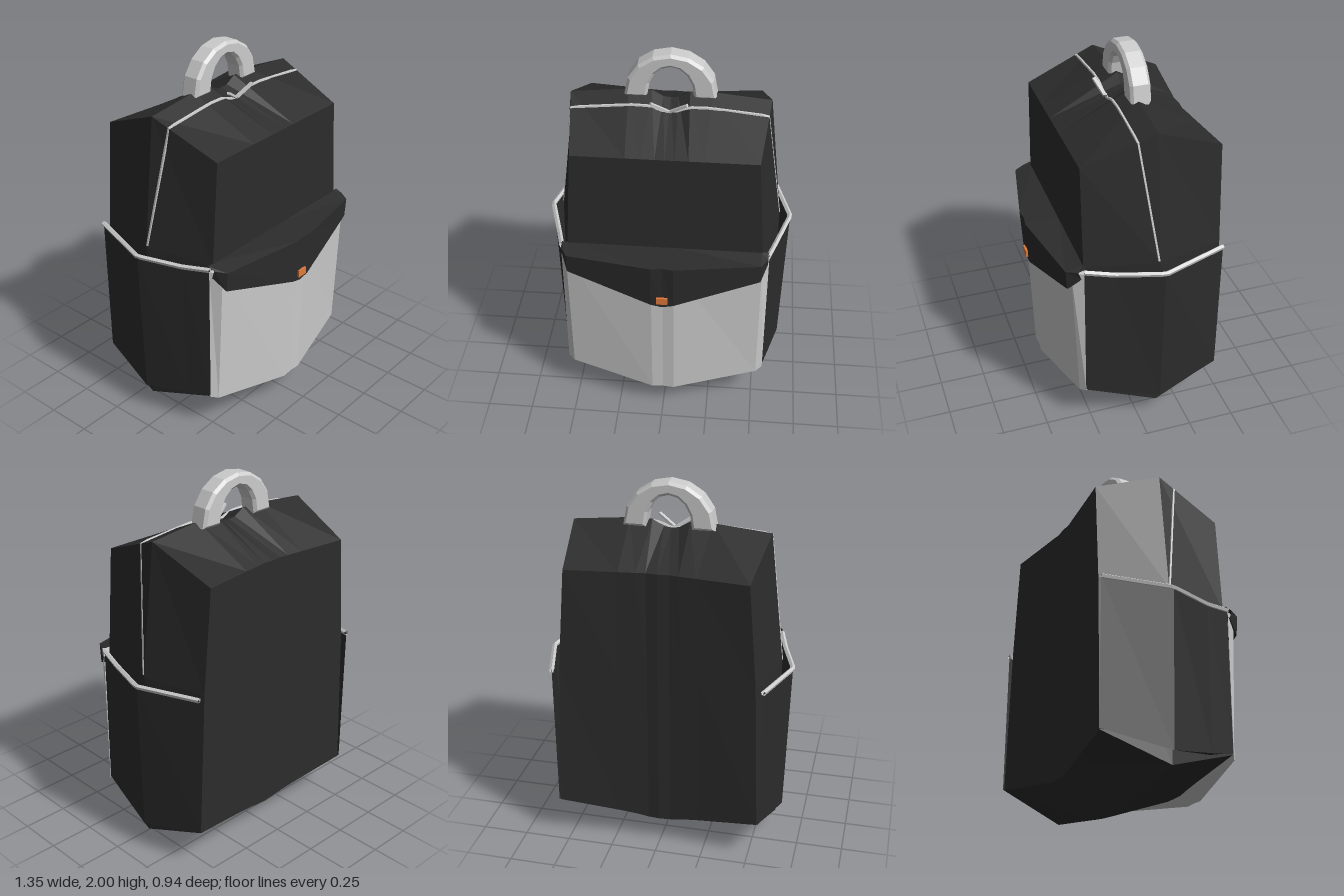
import * as THREE from 'three';

const material = (color) => new THREE.MeshStandardMaterial({ color, flatShading: true, side: THREE.DoubleSide });
const black = material(0x2c2c2c);
const grey = material(0xcccccc);
const orange = material(0xe07a3a);

const flip = ([x, y, z]) => [-x, y, z];

// Skin over columns of points (columns left to right, points top to bottom)
function skin(...patches) {
  const pos = [];
  for (const cols of patches) {
    for (let i = 0; i < cols.length - 1; i++) {
      for (let j = 0; j < cols[i].length - 1; j++) {
        const a = cols[i][j], b = cols[i][j + 1], c = cols[i + 1][j + 1], d = cols[i + 1][j];
        pos.push(...a, ...b, ...c, ...a, ...c, ...d);
      }
    }
  }
  const g = new THREE.BufferGeometry();
  g.setAttribute('position', new THREE.Float32BufferAttribute(pos, 3));
  g.computeVertexNormals();
  return g;
}

const mirrorCols = (cols) => cols.map((c) => c.map(flip)).reverse();
// Columns given from the centre outwards become the full width
const fullWidth = (half) => [...mirrorCols(half), ...half];

function tube(points, radius, sides = 5) {
  const curve = new THREE.CatmullRomCurve3(points.map((p) => new THREE.Vector3(...p)), false, 'catmullrom', 0);
  return new THREE.TubeGeometry(curve, points.length * 6, radius, sides, false);
}

export function createModel() {
  const model = new THREE.Group();
  const add = (name, geometry, mat) => {
    const mesh = new THREE.Mesh(geometry, mat);
    mesh.name = name;
    model.add(mesh);
    return mesh;
  };

  // Main body: profiles around the bag (over the front, under, up the back)
  const profile = (ridge, frontX, midX, low, lowY, ridgeLow, back, backZ) => [
    [ridge[0], ridge[1], -0.1],
    [frontX, 1.6, 0.285],
    [midX, 1.04, 0.285],
    [low, lowY, 0.285],
    [ridgeLow[0], ridgeLow[1], -0.1],
    [low, lowY, backZ + (lowY < 0.2 ? 0.01 : 0)],
    [midX, 1.04, backZ],
    [back, 1.6, backZ],
    [ridge[0], ridge[1], -0.1],
  ];
  const stations = [
    profile([0, 1.74], 0, 0, 0, 0.15, [0, 0], 0, -0.415),
    profile([0.04, 1.745], 0.05, 0.06, 0.06, 0.15, [0.05, 0.005], 0.06, -0.41),
    profile([0.1, 1.78], 0.12, 0.13, 0.13, 0.165, [0.13, 0.017], 0.11, -0.417),
    profile([0.22, 1.78], 0.2, 0.22, 0.22, 0.18, [0.22, 0.033], 0.2, -0.427),
    profile([0.525, 1.75], 0.48, 0.52, 0.55, 0.23, [0.605, 0.1], 0.475, -0.46),
  ];
  const edge = stations[4];
  const side = [
    [edge[1], edge[2], edge[3]],
    [edge[0], [0.605, 1.04, -0.1], edge[4]],
    [edge[7], edge[6], edge[5]],
  ];
  add('body', skin(fullWidth(stations), side, mirrorCols(side)), black);

  // Front pocket, bowed outwards
  add('frontPocket', skin(fullWidth([
    [[0, 1.02, 0.285], [0, 1.02, 0.43], [0, 0.14, 0.405], [0, 0.16, 0.28]],
    [[0.06, 1.02, 0.285], [0.06, 1.02, 0.435], [0.06, 0.14, 0.41], [0.06, 0.16, 0.28]],
    [[0.52, 1.02, 0.285], [0.52, 1.02, 0.35], [0.52, 0.215, 0.315], [0.52, 0.23, 0.28]],
    [[0.555, 1.02, 0.285], [0.555, 1.02, 0.29], [0.555, 0.23, 0.288], [0.555, 0.235, 0.28]],
  ])), grey);

  // Pointed flap over the front pocket, with a thin turned-back lower edge
  add('flap', skin(fullWidth([
    [[0, 1.05, 0.28], [0, 1.045, 0.46], [0, 0.775, 0.45], [0, 0.785, 0.42]],
    [[0.06, 1.05, 0.28], [0.06, 1.045, 0.468], [0.06, 0.79, 0.453], [0.06, 0.8, 0.42]],
    [[0.51, 1.05, 0.28], [0.515, 1.03, 0.378], [0.515, 0.92, 0.37], [0.51, 0.93, 0.34]],
    [[0.55, 1.05, 0.28], [0.55, 1.035, 0.32], [0.55, 0.99, 0.305], [0.55, 1, 0.28]],
  ])), black);

  // Clasp on the flap tip
  add('clasp', new THREE.BoxGeometry(0.06, 0.04, 0.02), orange).position.set(0, 0.825, 0.455);

  // Side pockets with piped rims
  const sidePocket = [
    [[0.55, 1.03, 0.29], [0.55, 0.235, 0.29], [0.545, 0.235, 0.27]],
    [[0.59, 1.01, 0.14], [0.585, 0.205, 0.14], [0.57, 0.2, 0.14]],
    [[0.665, 1.01, -0.11], [0.642, 0.16, -0.11], [0.6, 0.2, -0.11]],
    [[0.56, 1.03, -0.465], [0.555, 0.235, -0.465], [0.54, 0.235, -0.45]],
  ];
  const rim = sidePocket.map((c) => c[0]);
  add('leftSidePocket', skin(sidePocket), black);
  add('rightSidePocket', skin(mirrorCols(sidePocket)), black);
  add('leftPocketRim', tube(rim, 0.014), grey);
  add('rightPocketRim', tube(rim.map(flip), 0.014), grey);

  // Zip running over the top and down both sides
  const zipHalf = [
    [0.03, 1.71, -0.005], [0.1, 1.738, -0.005], [0.2, 1.74, -0.005],
    [0.508, 1.713, 0], [0.6, 1.05, -0.095],
  ];
  add('zip', tube([...zipHalf.map(flip).reverse(), ...zipHalf], 0.008), grey);

  // Pair of zip pulls
  for (const s of [-1, 1]) {
    const pull = add(s > 0 ? 'leftZipPull' : 'rightZipPull', new THREE.BoxGeometry(0.11, 0.012, 0.02), grey);
    pull.position.set(s * 0.05, 1.742, 0.015);
    pull.rotation.set(0, -s * 0.32, s * 0.55);
  }

  // Carry handle: faceted arch with bevelled edges
  const b = 0.015;
  const arch = [];
  const n = 8;
  for (let i = 0; i <= n; i++) {
    const a = (Math.PI * i) / n;
    arch.push(new THREE.Vector2((0.24 - b) * Math.cos(a), 1.77 + (0.23 - b) * Math.sin(a)));
  }
  for (let i = n; i >= 0; i--) {
    const a = (Math.PI * i) / n;
    arch.push(new THREE.Vector2((0.12 + b) * Math.cos(a), 1.77 + (0.16 + b) * Math.sin(a)));
  }
  const handle = new THREE.ExtrudeGeometry(new THREE.Shape(arch), {
    depth: 0.08, bevelEnabled: true, bevelThickness: b, bevelSize: b, bevelSegments: 1,
  });
  handle.translate(0, 0, -0.155);
  add('handle', handle, grey);

  return model;
}
